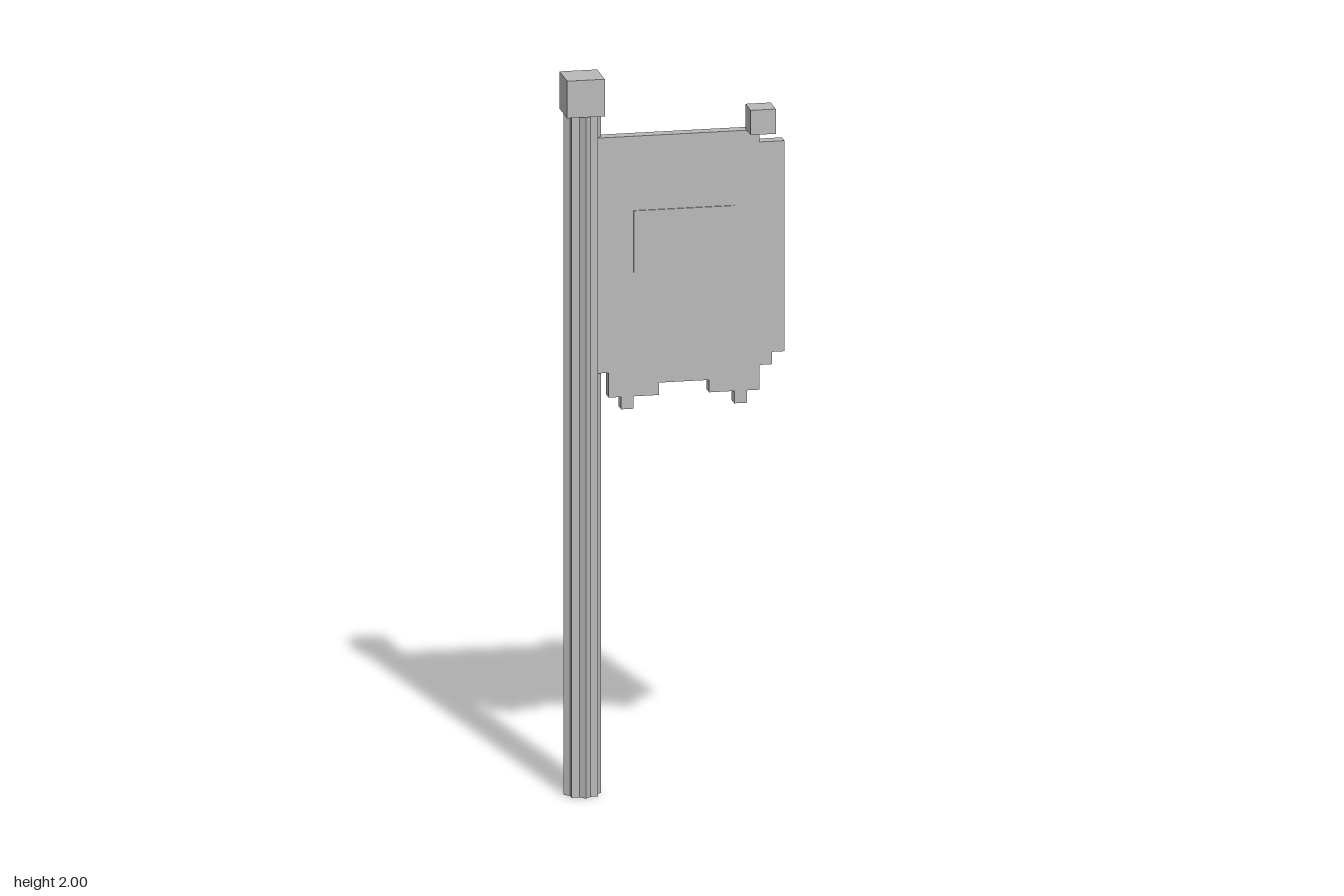
import * as THREE from 'three';

// One voxel: the whole model is 58 voxels tall
const V = 2 / 58;
const Z0 = -0.25 * V;      // depth of the pole and cloth centre line
const LEFT = -6.25 * V;    // x where the cloth begins, inside the pole
const POLE_X = -7.25 * V;

export function createModel() {
  const group = new THREE.Group();
  group.name = 'bannerOnPole';
  const grey = new THREE.MeshStandardMaterial({ color: 0xb8b8b8 });
  grey.name = 'grey';

  const add = (name, geometry, x, y, z) => {
    const mesh = new THREE.Mesh(geometry, grey);
    mesh.name = name;
    mesh.position.set(x, y, z);
    group.add(mesh);
    return mesh;
  };

  // Extrudes a stepped outline given in [column, row from the top] voxels
  const slab = (name, steps, thickness) => {
    const points = steps.map(([c, r]) => new THREE.Vector2(LEFT + c * V, 2 - r * V));
    const geometry = new THREE.ExtrudeGeometry(new THREE.Shape(points), {
      depth: thickness, bevelEnabled: false,
    });
    return add(name, geometry, 0, 0, Z0 - thickness / 2);
  };

  // Pole: two square bars crossed at 45 degrees make an eight-pointed section
  const side = 1.5 * V * Math.SQRT2;
  const poleHeight = 55 * V;
  for (let i = 0; i < 2; i++) {
    const bar = add('poleBar', new THREE.BoxGeometry(side, poleHeight, side), POLE_X, poleHeight / 2, Z0);
    bar.rotation.y = i * Math.PI / 4;
  }

  // Cube on top of the pole
  add('finial', new THREE.BoxGeometry(3 * V, 3 * V, 3 * V), POLE_X, 2 - 1.5 * V, Z0);

  // Cloth with a ragged lower edge
  slab('cloth', [
    [0, 5], [0, 24], [1, 24], [1, 26], [2, 26], [2, 27], [3, 27], [3, 26],
    [5, 26], [5, 25], [9, 25], [9, 26], [11, 26], [11, 27], [12, 27], [12, 26],
    [13, 26], [13, 24], [14, 24], [14, 23], [15, 23], [15, 6], [13, 6], [13, 5],
  ], V);

  // Shield emblem, standing slightly proud of both faces of the cloth
  slab('shieldEmblem', [
    [3, 11], [3, 16], [4, 16], [4, 17], [5, 17], [5, 18], [6, 18], [6, 19],
    [7, 19], [7, 18], [8, 18], [8, 17], [10, 17], [10, 16], [11, 16], [11, 11],
  ], 1.22 * V);

  // Small cube at the outer top corner
  add('cornerKnob', new THREE.BoxGeometry(2 * V, 2 * V, 2 * V), LEFT + 13 * V, 2 - 4 * V, Z0 + V);

  return group;
}
